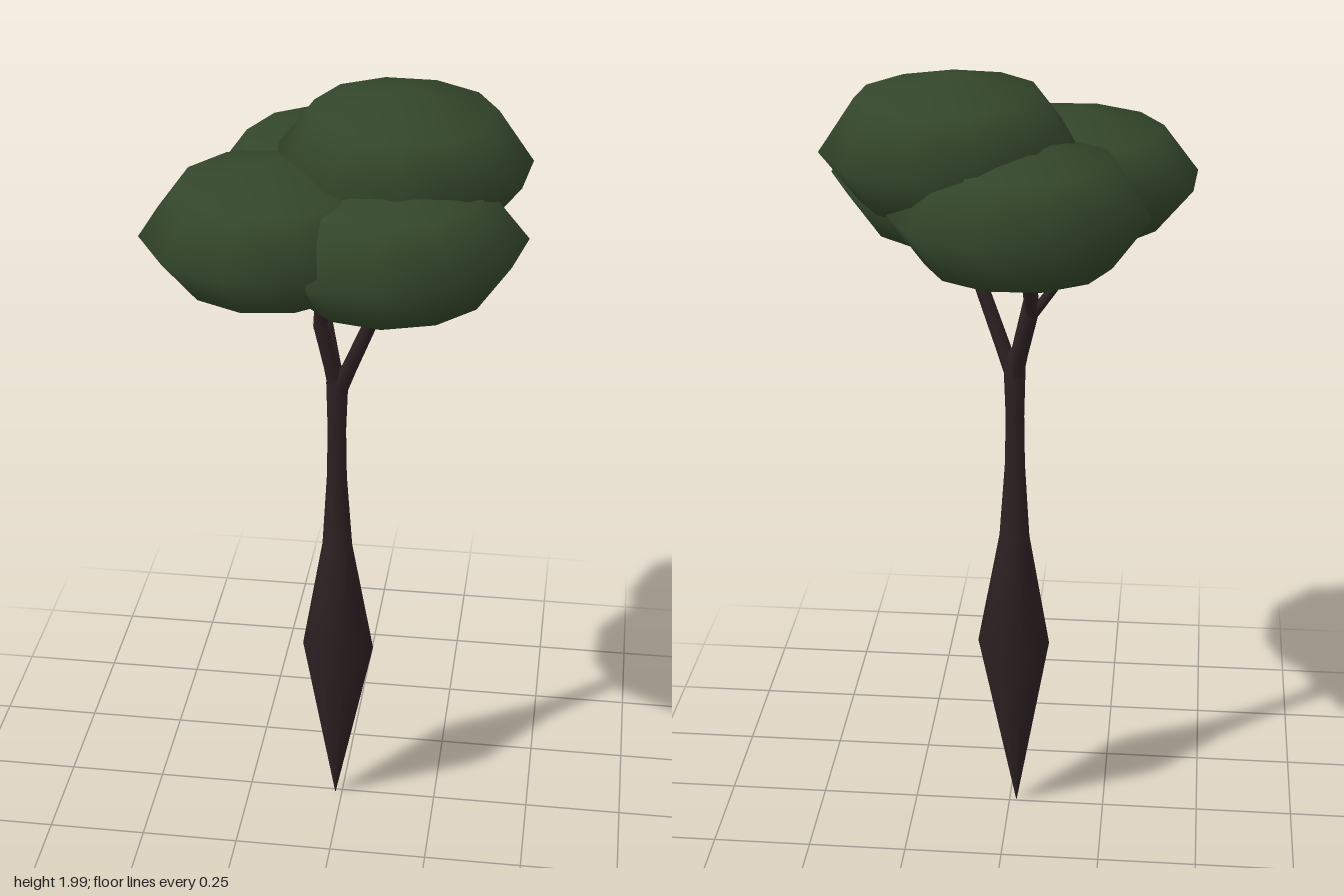
import * as THREE from 'three';

const bark = new THREE.MeshStandardMaterial({ color: 0x2c2022 });
bark.name = 'dark bark';
const leaves = new THREE.MeshStandardMaterial({ color: 0x33462a });
leaves.name = 'deep green leaves';

// Smooth limb lofted through horizontal rings; each ring is [x, y, z, radius]
function limb(name, rings, sides = 8) {
  const pos = [], index = [];
  for (const [x, y, z, r] of rings) {
    for (let i = 0; i < sides; i++) {
      const a = (i / sides) * Math.PI * 2;
      pos.push(x + r * Math.cos(a), y, z + r * Math.sin(a));
    }
  }
  for (let k = 0; k < rings.length - 1; k++) {
    for (let i = 0; i < sides; i++) {
      const a = k * sides + i, b = k * sides + (i + 1) % sides;
      index.push(a, a + sides, b, b, a + sides, b + sides);
    }
  }
  const geo = new THREE.BufferGeometry();
  geo.setAttribute('position', new THREE.Float32BufferAttribute(pos, 3));
  geo.setIndex(index);
  geo.computeVertexNormals();
  const mesh = new THREE.Mesh(geo, bark);
  mesh.name = name;
  return mesh;
}

// Flattened, slightly tilted low-poly leaf cluster
function cluster(name, [x, y, z], radius, height, turn, tiltX, tiltZ) {
  const geo = new THREE.SphereGeometry(1, 11, 4);
  geo.rotateY(turn);
  geo.scale(radius, height, radius);
  geo.rotateX(tiltX);
  geo.rotateZ(tiltZ);
  const mesh = new THREE.Mesh(geo, leaves);
  mesh.name = name;
  mesh.position.set(x, y, z);
  return mesh;
}

export function createModel() {
  const tree = new THREE.Group();
  tree.name = 'tree';

  // Trunk: pointed root, swollen belly, slim neck
  tree.add(limb('trunk', [
    [-0.018, 0.005, 0.008, 0.001],
    [-0.01, 0.49, 0.01, 0.092],
    [-0.012, 0.8, 0.006, 0.038],
    [-0.013, 1.0, 0.006, 0.025],
    [-0.013, 1.13, 0.005, 0.023],
    [-0.012, 1.26, 0.005, 0.027],
    [-0.012, 1.31, 0.005, 0.012],
  ], 10));

  // Main branches, each forking into twigs that end inside the leaves
  const branches = [
    { name: 'leftBranch', mid: [0.078, 1.46, 0.06], ends: [[0.2, 1.59, 0.16], [0.075, 1.6, 0.065]] },
    { name: 'rightBranch', mid: [-0.06, 1.44, -0.07], ends: [[-0.18, 1.59, -0.07], [-0.05, 1.59, -0.18], [-0.06, 1.59, -0.08]] },
    { name: 'middleBranch', mid: [-0.05, 1.43, 0.03], ends: [[-0.045, 1.6, 0.045], [-0.02, 1.6, 0.02]] },
  ];
  for (const { name, mid, ends } of branches) {
    const group = new THREE.Group();
    group.name = name;
    const [x, y, z] = mid;
    group.add(limb('bough', [
      [-0.012, 1.22, 0.005, 0.019],
      [x * 0.3 - 0.008, 1.3, z * 0.3 + 0.003, 0.02],
      [x, y, z, 0.018],
    ]));
    for (const [ex, ey, ez] of ends) {
      group.add(limb('twig', [
        [x, y - 0.015, z, 0.016],
        [x + (ex - x) * 0.45, y + (ey - y) * 0.4, z + (ez - z) * 0.45, 0.014],
        [ex, ey, ez, 0.01],
      ], 6));
    }
    tree.add(group);
  }

  // Canopy: three low clusters and one on top
  tree.add(
    cluster('frontRightLeaves', [-0.143, 1.715, 0.135], 0.305, 0.16, 0.23, 0, 0.02),
    cluster('frontLeftLeaves', [0.135, 1.7, 0.142], 0.308, 0.168, -0.17, -0.03, 0.04),
    cluster('backLeaves', [-0.035, 1.708, -0.145], 0.308, 0.175, -0.12, 0.02, 0),
    cluster('topLeaves', [0.137, 1.828, -0.038], 0.303, 0.172, -0.1, 0, -0.03),
  );
  return tree;
}
